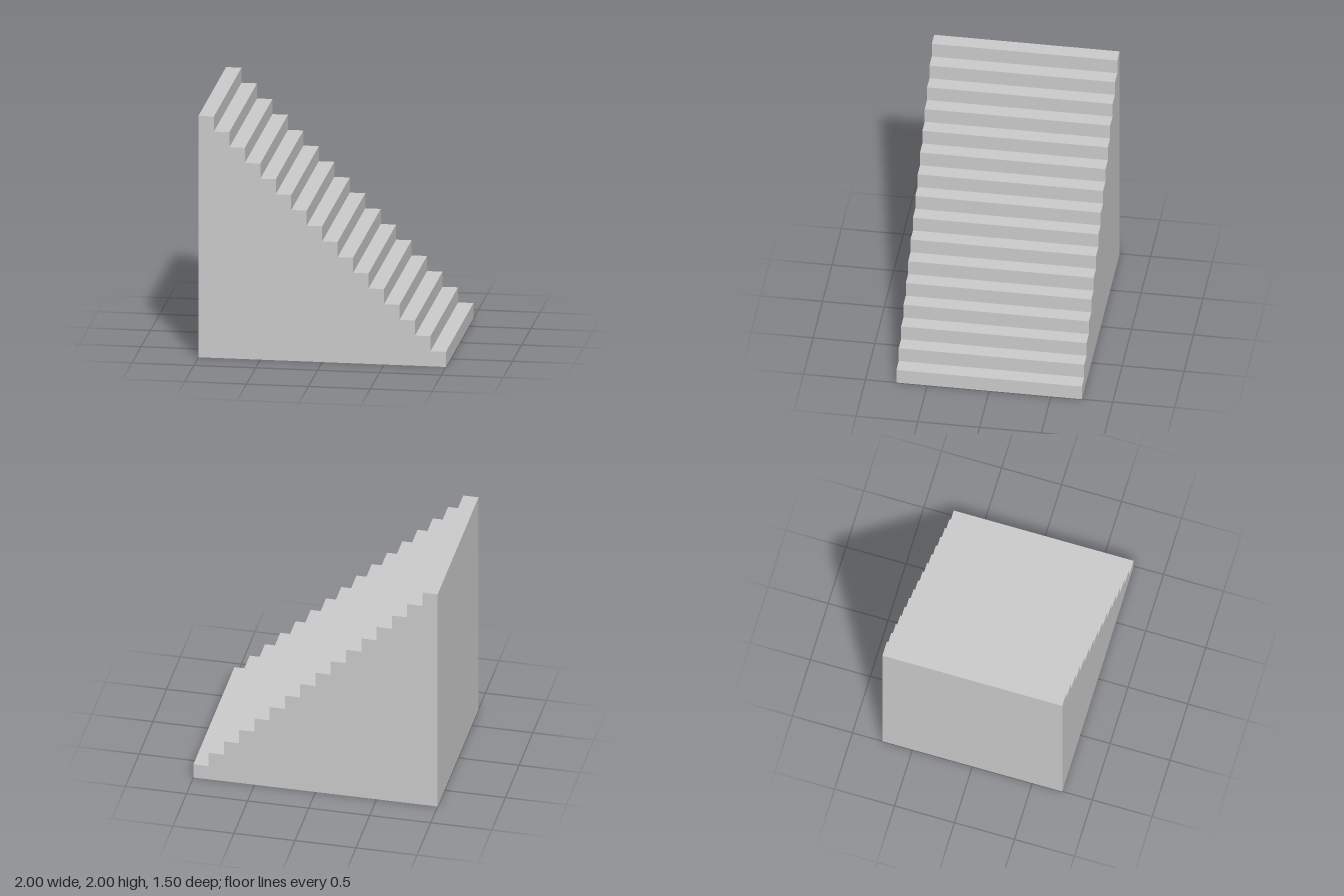
import * as THREE from 'three';

const STEPS = 16;
const SIZE = 2;     // total run and total rise
const WIDTH = 1.5;  // stair width along z

export function createModel() {
  const step = SIZE / STEPS;

  // Stepped side profile, climbing from the low end at +x to the high end at -x
  const profile = new THREE.Shape();
  profile.moveTo(-SIZE / 2, 0);
  profile.lineTo(SIZE / 2, 0);
  for (let i = 0; i < STEPS; i++) {
    const x = SIZE / 2 - i * step;
    const y = (i + 1) * step;
    profile.lineTo(x, y);        // riser
    profile.lineTo(x - step, y); // tread
  }
  profile.closePath();

  // Solid flight with closed sides, back and underside
  const geometry = new THREE.ExtrudeGeometry(profile, { depth: WIDTH, bevelEnabled: false });
  geometry.translate(0, 0, -WIDTH / 2);

  const stairs = new THREE.Mesh(
    geometry,
    new THREE.MeshStandardMaterial({ color: 0xcccccc, flatShading: true })
  );
  stairs.name = 'stairFlight';

  const model = new THREE.Group();
  model.name = 'staircase';
  model.add(stairs);
  return model;
}
